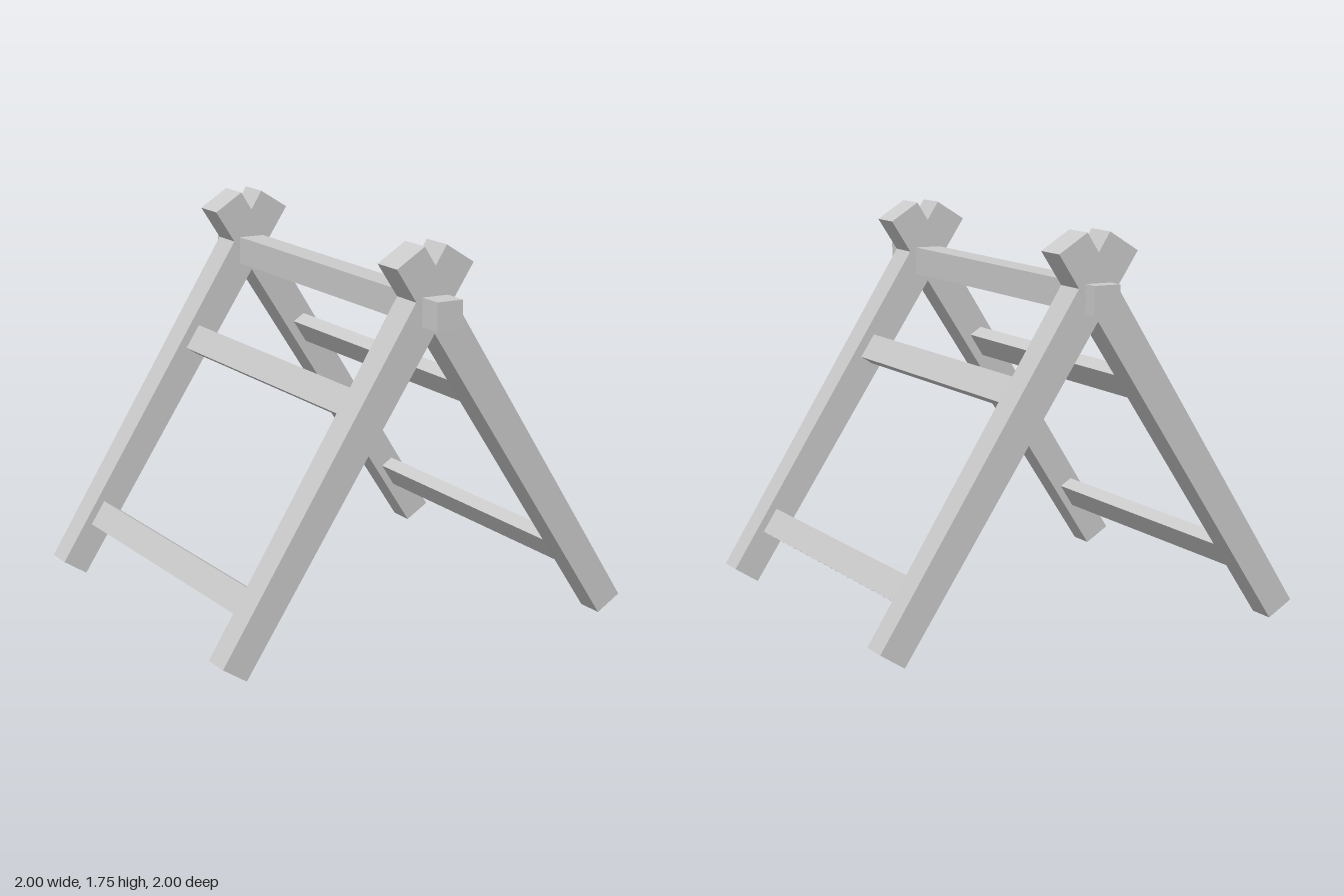
import * as THREE from 'three';

const material = new THREE.MeshStandardMaterial({ color: 0xcccccc, flatShading: true });

// Centre line of a leg on the +x side; the other side is mirrored
const FOOT = new THREE.Vector2(0.945, 0.035);
const TIP = new THREE.Vector2(-0.12, 1.712);
const LENGTH = FOOT.distanceTo(TIP);
const TILT = Math.atan2(FOOT.x - TIP.x, TIP.y - FOOT.y);
const FRAME_Z = [0.805, -0.847];

// Square beam, slightly thinner at the foot
function taperedBeam(bottom, top, length) {
  const geometry = new THREE.BoxGeometry(1, length, 1);
  const p = geometry.attributes.position;
  for (let i = 0; i < p.count; i++) {
    const width = p.getY(i) > 0 ? top : bottom;
    p.setX(i, p.getX(i) * width);
    p.setZ(i, p.getZ(i) * width);
  }
  geometry.computeVertexNormals();
  return geometry;
}

export function createModel() {
  const model = new THREE.Group();
  model.name = 'trestleFrame';

  function add(name, geometry, x, y, z, tilt = 0) {
    const mesh = new THREE.Mesh(geometry, material);
    mesh.name = name;
    mesh.position.set(x, y, z);
    mesh.rotation.z = tilt;
    model.add(mesh);
  }

  const legGeometry = taperedBeam(0.13, 0.158, LENGTH);
  const rungLength = FRAME_Z[0] - FRAME_Z[1];
  const rungGeometry = new THREE.BoxGeometry(0.065, 0.123, rungLength);
  const middleZ = (FRAME_Z[0] + FRAME_Z[1]) / 2;

  for (const [label, side] of [['left', 1], ['right', -1]]) {
    // Crossing legs of the front and back frames
    FRAME_Z.forEach((z, i) => {
      add(`${label}${i ? 'Back' : 'Front'}Leg`, legGeometry,
        side * (FOOT.x + TIP.x) / 2, (FOOT.y + TIP.y) / 2, z, side * TILT);
    });
    // Rungs between the frames, lying in the slope of the legs
    for (const [level, y] of [['Lower', 0.27], ['Upper', 1.068]]) {
      const x = FOOT.x - (y - FOOT.y) * Math.tan(TILT);
      add(`${label}${level}Rung`, rungGeometry, side * x, y, middleZ, side * TILT);
    }
  }

  // Ridge beam through both crossings
  add('ridgeBeam', new THREE.BoxGeometry(0.124, 0.126, 2), 0, 1.478, 0);

  return model;
}
